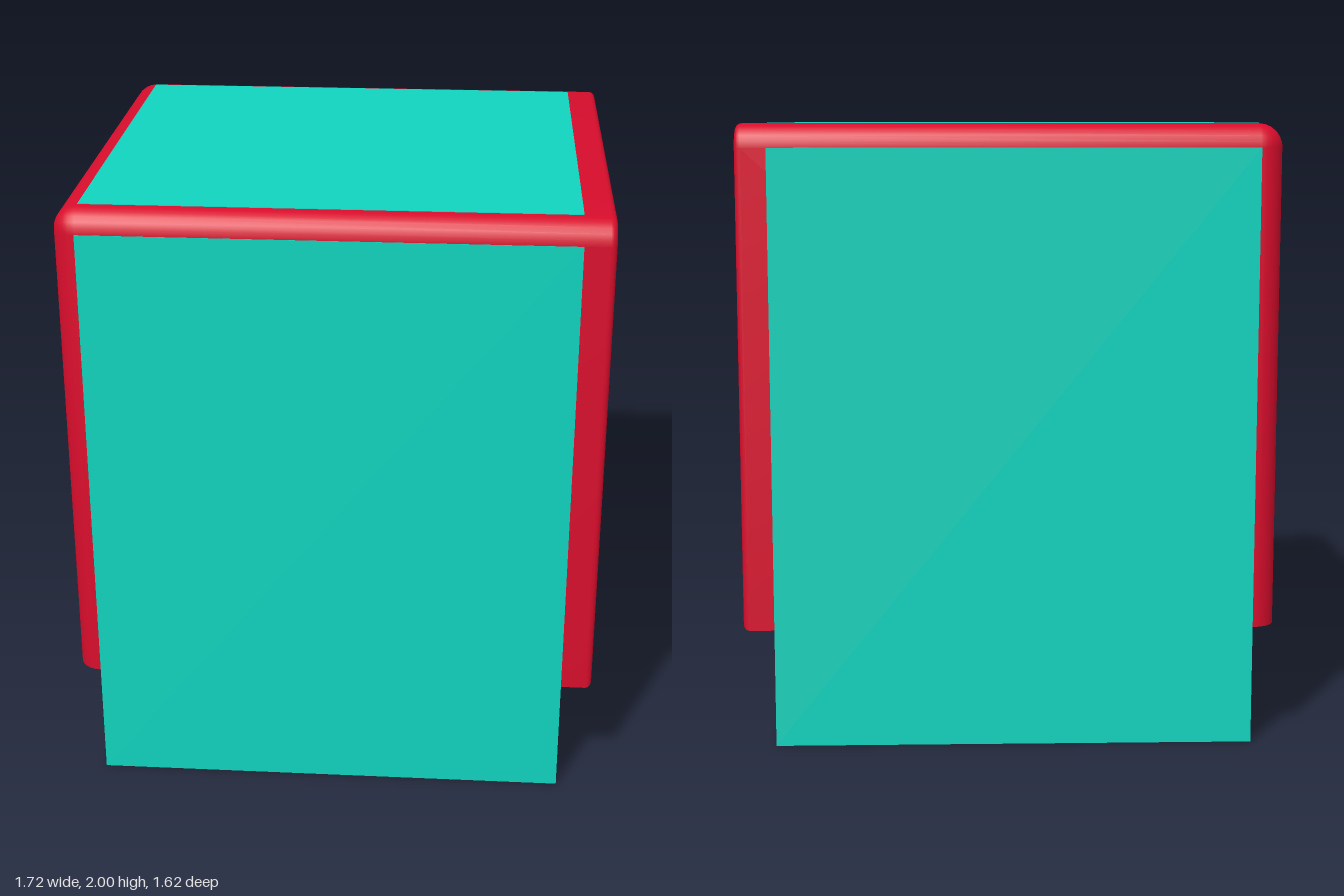
import * as THREE from 'three';
import { toCreasedNormals } from 'three/addons/utils/BufferGeometryUtils.js';

const TEAL = 0x10d4be, RED = 0xd80d2c, BLUE = 0x0d2dd0;
const BOTTOM = 0.385, TOP = 2, HALF_Z = 0.81, LEFT = -0.86, RIGHT = 0.86, RADIUS = 0.075;
const STEPS = 6;

function addMesh(group, name, geometry, color, x = 0, y = 0, z = 0) {
  const mesh = new THREE.Mesh(geometry, new THREE.MeshStandardMaterial({ color }));
  mesh.name = name;
  mesh.position.set(x, y, z);
  group.add(mesh);
  return mesh;
}

// Loop at one x: up the +z side, over the rounded top, down the -z side
function section(x, halfZ, bottom, top, r) {
  const points = [new THREE.Vector3(x, bottom, halfZ)];
  for (const side of [1, -1]) {
    for (let i = 0; i <= STEPS; i++) {
      const t = (side > 0 ? i : STEPS - i) / STEPS * Math.PI / 2;
      points.push(new THREE.Vector3(x, top - r + r * Math.sin(t), side * (halfZ - r + r * Math.cos(t))));
    }
  }
  points.push(new THREE.Vector3(x, bottom, -halfZ));
  return points;
}

// Join successive loops, dropping triangles that collapse to a line
function loft(loops) {
  const positions = [];
  const triangle = new THREE.Triangle();
  const face = (a, b, c) => {
    triangle.set(a, b, c);
    if (triangle.getArea() > 1e-9) for (const p of [a, b, c]) positions.push(p.x, p.y, p.z);
  };
  for (let k = 0; k < loops.length - 1; k++) {
    const a = loops[k], b = loops[k + 1], n = a.length;
    for (let i = 0; i < n; i++) {
      const j = (i + 1) % n;
      face(a[i], b[i], a[j]);
      face(a[j], b[i], b[j]);
    }
  }
  const geometry = new THREE.BufferGeometry();
  geometry.setAttribute('position', new THREE.Float32BufferAttribute(positions, 3));
  return toCreasedNormals(geometry, 0.7);
}

function shellGeometry() {
  const loops = [section(LEFT, 0, 1.2, 1.2, 0)];
  // Broad rounding on the closed end
  for (let i = 0; i <= STEPS; i++) {
    const t = i / STEPS * Math.PI / 2;
    const d = RADIUS * (1 - Math.sin(t));
    loops.push(section(LEFT + RADIUS * (1 - Math.cos(t)), HALF_Z - d, BOTTOM, TOP - d, RADIUS - d));
  }
  // Small rounding on the rim of the open end
  const lip = 0.02;
  for (let i = 0; i <= 4; i++) {
    const t = i / 4 * Math.PI / 2;
    const d = lip * (1 - Math.cos(t));
    loops.push(section(RIGHT - lip * (1 - Math.sin(t)), HALF_Z - d, BOTTOM + d, TOP - d, RADIUS - d));
  }
  // Square opening and recess walls
  loops.push(section(RIGHT, 0.77, 0.43, 1.885, 0), section(0.75, 0.77, 0.43, 1.885, 0));
  return loft(loops);
}

export function createModel() {
  const model = new THREE.Group();
  model.name = 'box';

  addMesh(model, 'shell', shellGeometry(), RED);

  // Inner block, with its broad faces flush with the shell
  const width = 1.545, centre = -0.0125;
  const lowerHeight = TOP - RADIUS;
  addMesh(model, 'block', new THREE.BoxGeometry(width, lowerHeight, 2 * HALF_Z + 0.003), TEAL, centre, lowerHeight / 2);
  addMesh(model, 'topPanel', new THREE.BoxGeometry(width, 0.04, 2 * (HALF_Z - RADIUS)), TEAL, centre, TOP - 0.0185);

  // Recessed panel and the ring standing on it
  addMesh(model, 'sidePanel', new THREE.BoxGeometry(0.02, 1.455, 1.54), BLUE, 0.754, 1.1575);
  const ring = new THREE.TorusGeometry(0.472, 0.028, 8, 24);
  ring.scale(1, 1, 1.7);
  ring.rotateY(Math.PI / 2);
  addMesh(model, 'ring', ring, TEAL, 0.806, 1.155);

  return model;
}
